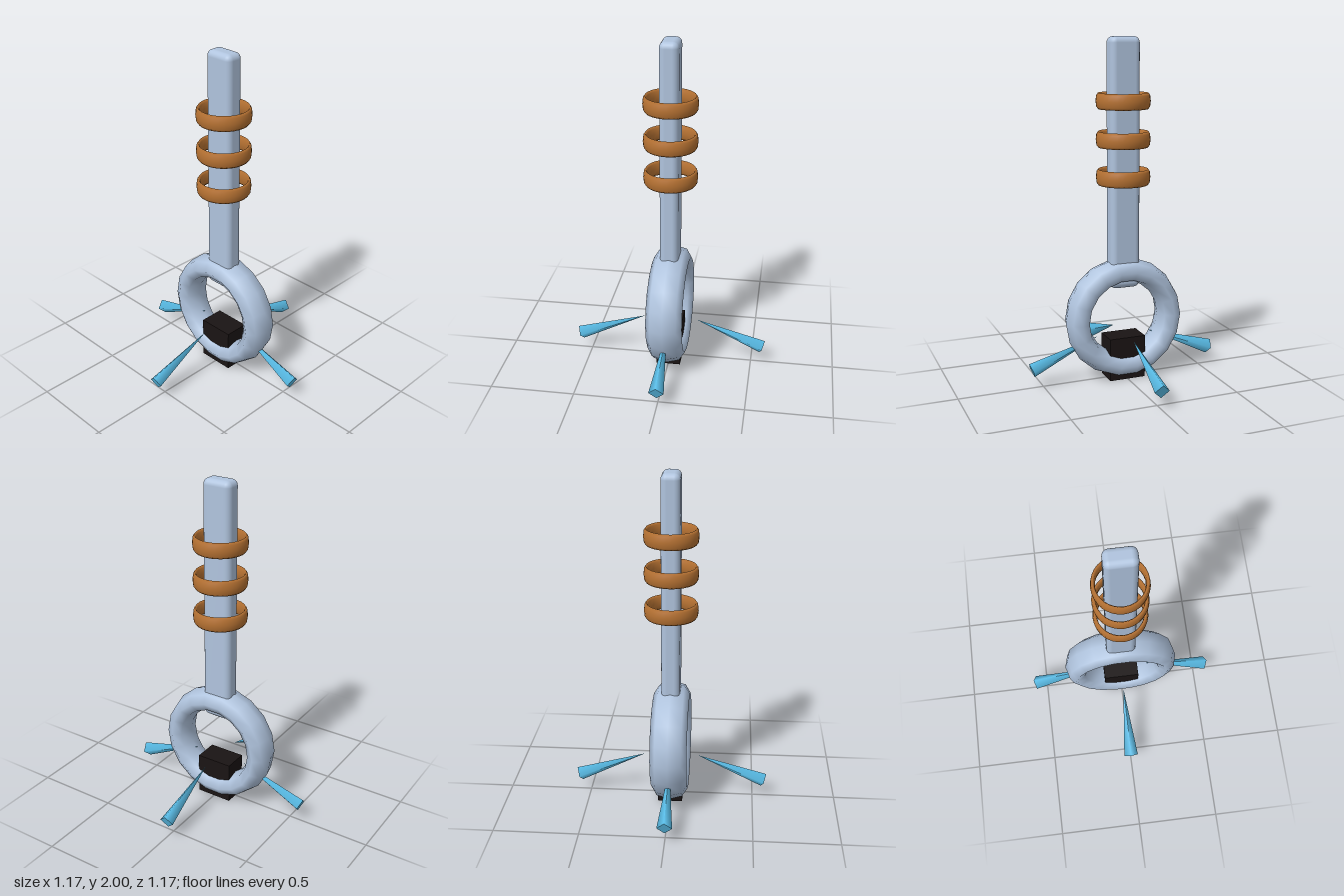
import * as THREE from 'three';
import { RoundedBoxGeometry } from 'three/addons/geometries/RoundedBoxGeometry.js';

const steel = new THREE.MeshStandardMaterial({ color: 0xb0c4de });
const copper = new THREE.MeshStandardMaterial({ color: 0xb87333 });
const ice = new THREE.MeshStandardMaterial({ color: 0x5bc0eb });
const black = new THREE.MeshStandardMaterial({ color: 0x1a1414 });

export function createModel() {
  const model = new THREE.Group();
  model.name = 'ringedRod';

  const add = (name, geometry, material, x, y, z, parent = model) => {
    const mesh = new THREE.Mesh(geometry, material);
    mesh.name = name;
    mesh.position.set(x, y, z);
    parent.add(mesh);
    return mesh;
  };

  // Rounded flat shaft, its lower end showing inside the ring
  add('shaft', new RoundedBoxGeometry(0.18, 1.45, 0.11, 3, 0.035), steel, 0, 1.275, 0);

  // Upright ring, stretched front to back
  const ring = new THREE.TorusGeometry(0.288, 0.07, 8, 18);
  ring.scale(1, 1, 1.54);
  add('baseRing', ring, steel, 0, 0.365, 0);

  // Dark block through the bottom of the ring
  add('footBlock', new THREE.BoxGeometry(0.22, 0.255, 0.146), black, 0, 0.1275, 0);

  // Three loose bands around the shaft
  const band = new THREE.TorusGeometry(0.144, 0.013, 8, 32);
  band.rotateX(Math.PI / 2);
  band.scale(1, 3.5, 1);
  [1.205, 1.422, 1.64].forEach((y) => add('band', band, copper, 0, y, 0));

  // Four spikes, points turned inwards and up
  const spike = new THREE.ConeGeometry(0.0445, 0.436, 4);
  for (let i = 0; i < 4; i++) {
    const arm = new THREE.Group();
    arm.name = 'spikeArm';
    arm.rotation.y = (i * Math.PI) / 2;
    add('spike', spike, ice, 0.3635, 0.184, 0, arm).rotation.z = 1.203;
    model.add(arm);
  }

  return model;
}
